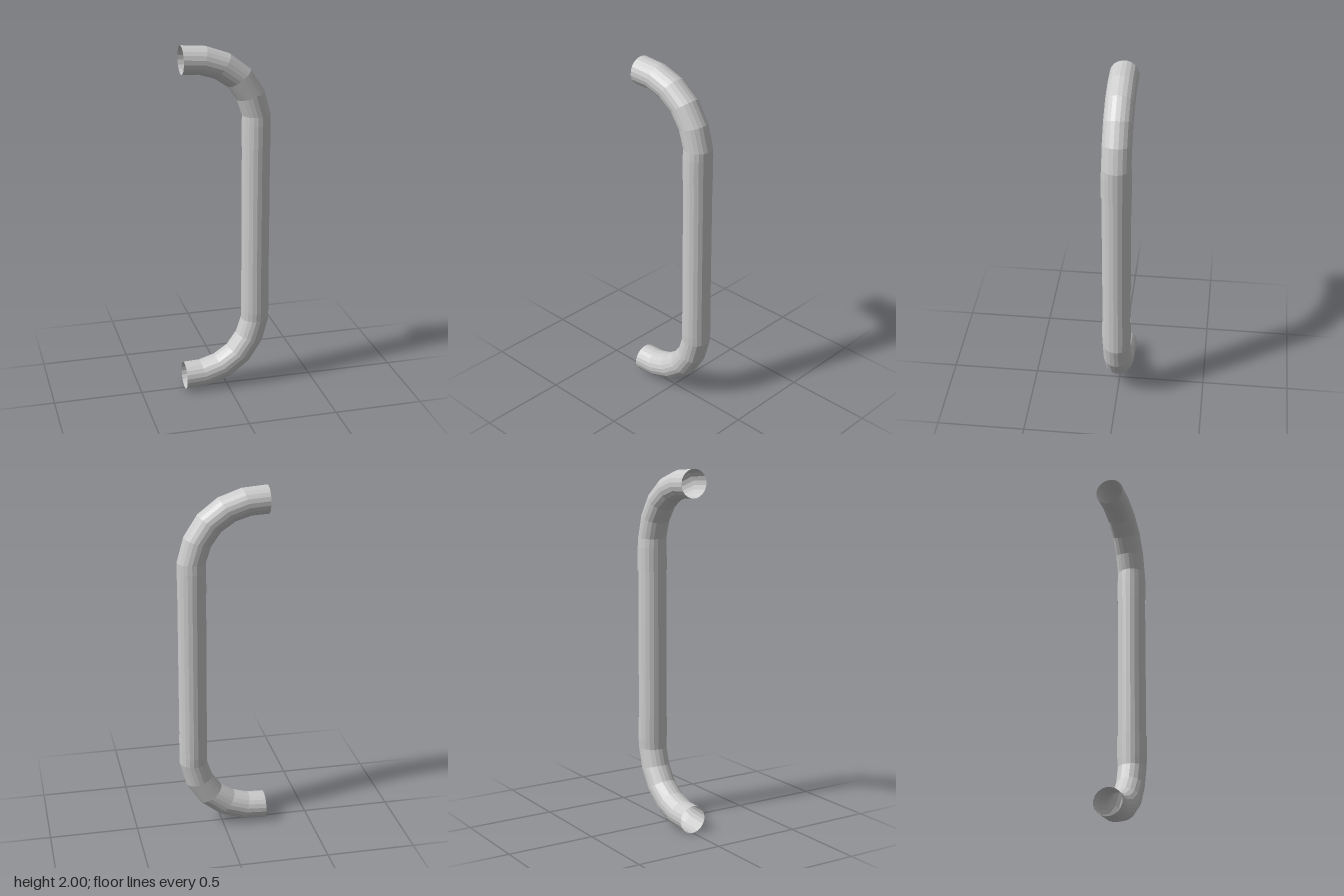
import * as THREE from 'three';

const SIDES = 20;
const BAR_X = 0.167;

// Open faceted pipe from rings [x, y, tilt in degrees, in-plane radius, z radius]
function pipe(rings, name) {
  const pos = [], index = [];
  for (const [x, y, tilt, r, rz] of rings) {
    const a = THREE.MathUtils.degToRad(tilt);
    for (let i = 0; i < SIDES; i++) {
      const t = ((i + 0.4) / SIDES) * Math.PI * 2;
      const u = Math.cos(t) * r;
      pos.push(x + Math.sin(a) * u, y + Math.cos(a) * u, Math.sin(t) * rz);
    }
  }
  for (let j = 0; j < rings.length - 1; j++) {
    for (let i = 0; i < SIDES; i++) {
      const k = (i + 1) % SIDES;
      const a = j * SIDES + i, b = j * SIDES + k, c = a + SIDES, d = b + SIDES;
      index.push(a, b, c, b, d, c);
    }
  }
  const geometry = new THREE.BufferGeometry();
  geometry.setAttribute('position', new THREE.Float32BufferAttribute(pos, 3));
  geometry.setIndex(index);
  geometry.computeVertexNormals();
  const material = new THREE.MeshStandardMaterial({
    color: 0xcccccc, flatShading: true, side: THREE.DoubleSide,
  });
  const mesh = new THREE.Mesh(geometry, material);
  mesh.name = name;
  return mesh;
}

export function createModel() {
  const group = new THREE.Group();
  group.name = 'pullHandle';

  // Upper bend with its slightly widened sleeve over the bar
  const bend = [
    [-0.248, 1.922, 0, 0.078, 0.079],
    [-0.133, 1.915, 18, 0.078, 0.079],
    [-0.025, 1.879, 36, 0.079, 0.079],
    [0.069, 1.81, 54, 0.079, 0.079],
    [0.134, 1.712, 72, 0.079, 0.079],
    [BAR_X, 1.6, 90, 0.079, 0.079],
    [BAR_X, 1.55, 90, 0.079, 0.082],
    [BAR_X, 1.42, 90, 0.079, 0.083],
  ];
  group.add(pipe(bend, 'upperBend'));

  // Lower bend mirrors the upper one, with rings reversed to keep faces outward
  const lower = bend.map(([x, y, tilt, r, rz]) => [x, 2 - y, 180 - tilt, r, rz]).reverse();
  group.add(pipe(lower, 'lowerBend'));

  // Straight grip, reaching inside both sleeves
  group.add(pipe([[BAR_X, 1.55, 90, 0.078, 0.079], [BAR_X, 0.45, 90, 0.078, 0.079]], 'gripBar'));

  return group;
}
